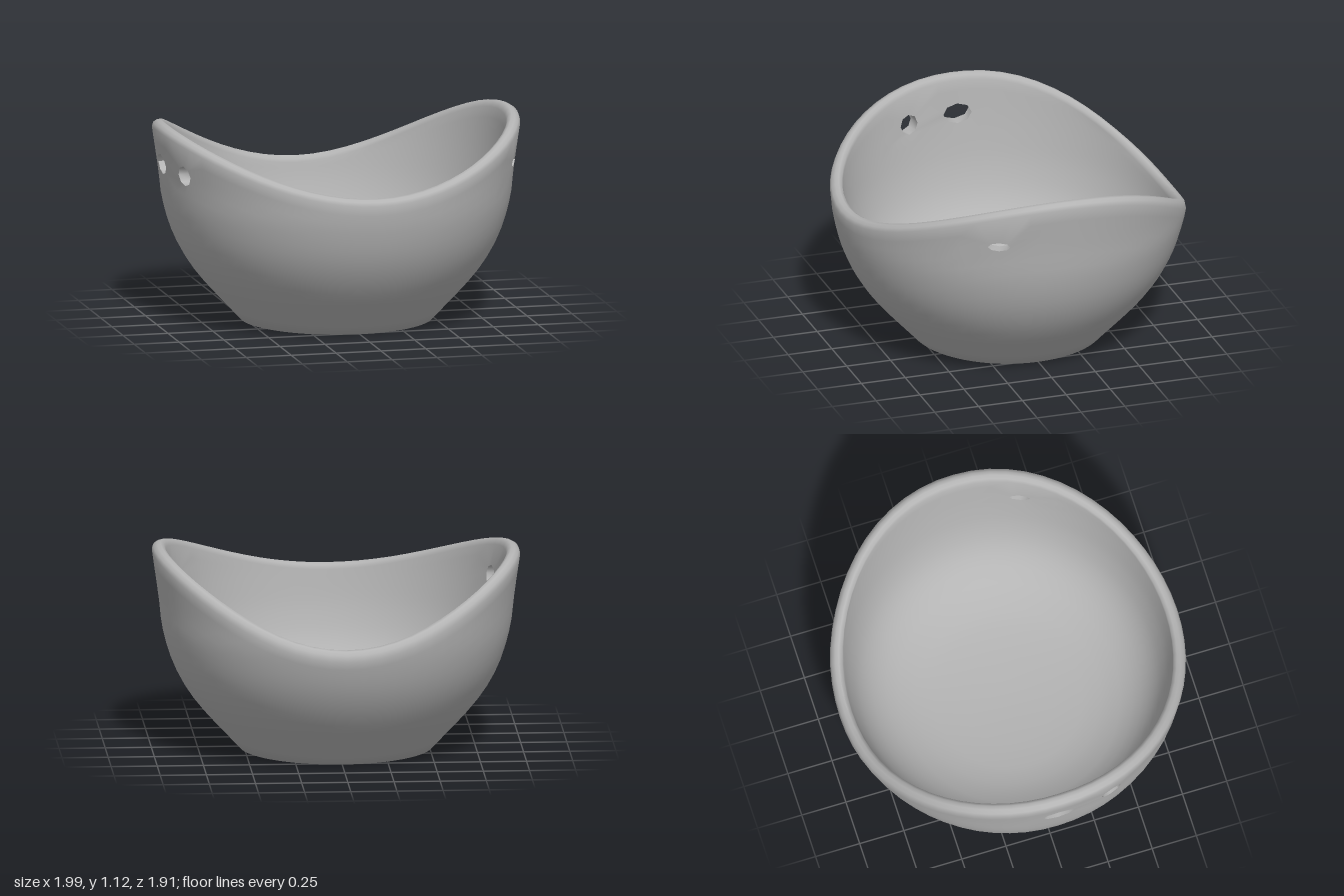
import * as THREE from 'three';
import { toCreasedNormals } from 'three/addons/utils/BufferGeometryUtils.js';

const SEG = 64, LEVELS = 15, FLOOR_EDGE = 0.19;

// smooth wall radius against height
function wall(heights, radii) {
  const spline = new THREE.CubicInterpolant(heights, radii, 1);
  return y => spline.evaluate(y)[0];
}
const outer = wall([0, 0.28, 0.45, 0.67, 0.8, 1.13], [0.525, 0.775, 0.875, 0.942, 0.957, 1.003]);
const inner = wall([FLOOR_EDGE, 0.23, 0.3, 0.4, 0.55, 0.75, 1.13], [0.5, 0.6, 0.7, 0.78, 0.84, 0.88, 0.925]);

// underside from the centre out, as [r, y]: low disc, shallow groove, foot ring
const FOOT = [[0, 0.045], [0.1, 0.04], [0.25, 0.037], [0.285, 0.042], [0.34, 0.065], [0.4, 0.06], [0.44, 0.03], [0.465, 0.005], [0.5, 0]];
// inside floor from the wall to the centre
const FLOOR = [[0.4, 0.168], [0.25, 0.15], [0.1, 0.142], [0, 0.14]];
// rounded rim, as [inset, drop as a share of the outer edge's drop]
const RIM = [[0.008, 0.4], [0.028, 0.08], [0.048, 0], [0.066, 0.3]];

// rim is high at the sides, lower in front and lowest at the back
function rimHeight(a) {
  const c = Math.cos(a);
  const dip = c > 0 ? 0.3 * c ** 2 : 0.41 * (-c) ** 2.3;
  return 1.12 - dip - 0.02 * Math.max(0, -Math.sin(a)) ** 2;
}
// outer edge of the rim, which leans outwards at the back
const rimDrop = a => 0.035 + 0.025 * Math.max(0, -Math.cos(a));
const wallTop = a => rimHeight(a) - rimDrop(a);

// small holes through the wall: angle from the front, height, half width, half height
const HOLES = [
  { a: -Math.PI / 2 - 0.02, y: 0.88, w: 0.085, h: 0.055 },
  { a: -Math.PI / 2 + 0.31, y: 0.87, w: 0.06, h: 0.055 },
  { a: Math.PI / 2 - 0.37, y: 0.875, w: 0.06, h: 0.025 },
];
// neighbours round a grid point, anticlockwise from outside: [column, level]
const RING = [[1, 0], [1, 1], [0, 1], [-1, 1], [-1, 0], [-1, -1], [0, -1], [1, -1]];

function bowlGeometry() {
  const pos = [], index = [];
  let rows = 0;
  const angle = j => j / SEG * Math.PI * 2;
  // the back swells slightly further out with height
  const put = (a, r, y) => {
    const s = r * (1 + 0.03 * y * Math.max(0, -Math.cos(a)));
    return [s * Math.sin(a), y, s * Math.cos(a)];
  };
  const addRow = f => {
    for (let j = 0; j < SEG; j++) pos.push(put(angle(j), ...f(angle(j))));
    rows++;
  };
  const id = (row, j) => row * SEG + (j + SEG) % SEG;

  FOOT.forEach(p => addRow(() => p));
  // outside wall, from the foot up
  for (let k = 0; k <= LEVELS; k++) addRow(a => {
    const y = wallTop(a) * k / LEVELS;
    return [outer(y), y];
  });
  for (const [inset, share] of RIM) {
    addRow(a => [outer(wallTop(a)) - inset, rimHeight(a) - rimDrop(a) * share]);
  }
  // inside wall, from the rim down
  const innerStart = rows;
  for (let k = LEVELS; k >= 0; k--) addRow(a => {
    const y = FLOOR_EDGE + (rimHeight(a) - 0.035 - FLOOR_EDGE) * k / LEVELS;
    return [inner(y), y];
  });
  FLOOR.forEach(p => addRow(() => p));
  const outerRow = k => FOOT.length + k;
  const innerRow = k => innerStart + LEVELS - k;

  // fit the grid round each hole and line the opening
  const skipped = new Set();
  for (const hole of HOLES) {
    const j = Math.round(hole.a / angle(1));
    const k = Math.round(hole.y / wallTop(hole.a) * LEVELS);
    RING.forEach(([dj, dk], n) => {
      const t = n * Math.PI / 4;
      const a = hole.a + hole.w / 0.95 * Math.cos(t), y = hole.y + hole.h * Math.sin(t);
      const o1 = id(outerRow(k + dk), j + dj), i1 = id(innerRow(k + dk), j + dj);
      pos[o1] = put(a, outer(y), y);
      pos[i1] = put(a, inner(y), y);
      const [ej, ek] = RING[(n + 1) % 8];
      const o2 = id(outerRow(k + ek), j + ej), i2 = id(innerRow(k + ek), j + ej);
      index.push(o1, o2, i2, o1, i2, i1);
    });
    for (const dj of [-1, 0]) {
      for (const dk of [-1, 0]) {
        skipped.add(id(outerRow(k + dk), j + dj));
        skipped.add(id(innerRow(k + dk + 1), j + dj));
      }
    }
  }

  // skin the rows, with fans at the two centres
  for (let i = 0; i < rows - 1; i++) {
    for (let j = 0; j < SEG; j++) {
      if (skipped.has(id(i, j))) continue;
      const a = id(i, j), b = id(i, j + 1), c = id(i + 1, j + 1), d = id(i + 1, j);
      if (i > 0) index.push(a, b, c);
      if (i < rows - 2) index.push(a, c, d);
    }
  }
  const g = new THREE.BufferGeometry();
  g.setAttribute('position', new THREE.Float32BufferAttribute(pos.flat(), 3));
  g.setIndex(index);
  return toCreasedNormals(g, 1.0);
}

export function createModel() {
  const group = new THREE.Group();
  group.name = 'bowl';
  const clay = new THREE.MeshStandardMaterial({ color: 0xb4b4b4 });
  clay.name = 'grey clay';

  const body = new THREE.Mesh(bowlGeometry(), clay);
  body.name = 'bowlBody';
  group.add(body);
  return group;
}
